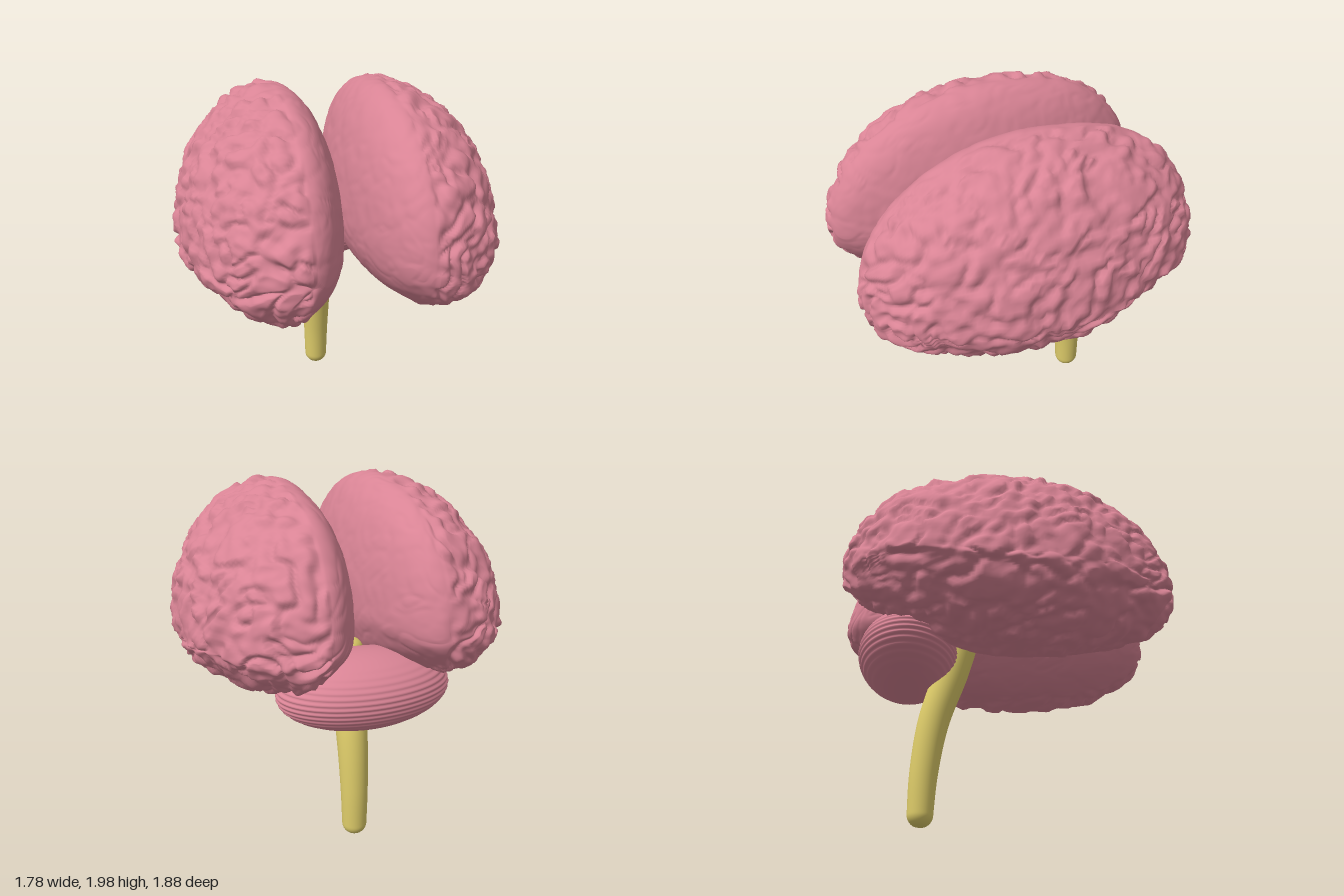
import * as THREE from 'three';
import { mergeVertices } from 'three/addons/utils/BufferGeometryUtils.js';

const pink = new THREE.MeshStandardMaterial({ color: 0xd98495 });
pink.name = 'tissue pink';
const yellow = new THREE.MeshStandardMaterial({ color: 0xdfcd6a });
yellow.name = 'stem yellow';

const { lerp, smoothstep } = THREE.MathUtils;

// Smooth seeded 3D value noise in -1..1
function hash(x, y, z) {
  let h = Math.imul(x, 374761393) ^ Math.imul(y, 668265263) ^ Math.imul(z, 873305471);
  h = Math.imul(h ^ (h >>> 13), 1274126177);
  h = Math.imul(h ^ (h >>> 15), 2246822519);
  return ((h ^ (h >>> 16)) >>> 0) / 2147483648 - 1;
}
function noise(x, y, z) {
  const i = Math.floor(x), j = Math.floor(y), k = Math.floor(z);
  const ease = t => t * t * t * (t * (t * 6 - 15) + 10);
  const u = ease(x - i), v = ease(y - j), w = ease(z - k);
  const row = (b, c) => lerp(hash(i, b, c), hash(i + 1, b, c), u);
  const slab = c => lerp(row(j, c), row(j + 1, c), v);
  return lerp(slab(k), slab(k + 1), w);
}

// Winding folds: warped noise on a turned lattice, rounded ridges with narrow grooves
const turn = new THREE.Euler(0.6, 0.5, 0.4);
function folds(x, y, z) {
  const q = new THREE.Vector3(x, y * 1.2, z).applyEuler(turn);
  const wx = noise(q.x * 5 + 9, q.y * 5, q.z * 5), wy = noise(q.x * 5, q.y * 5 + 31, q.z * 5);
  const n = noise(q.x * 10 + wx, q.y * 10 + wy, q.z * 10 - wx);
  const m = noise(q.x * 18 + wy, q.y * 18 + 50, q.z * 18 + wx);
  return Math.min(Math.abs(n) * 1.6, 0.8) - 0.4 + m * 0.32;
}

// Welds seams and drops old normals so the surface shades smoothly
function smooth(geometry) {
  geometry.deleteAttribute('uv');
  geometry.deleteAttribute('normal');
  const welded = mergeVertices(geometry, 1e-5);
  welded.computeVertexNormals();
  return welded;
}

// One half: thin toward the middle, broad outside, flattened underneath
function hemisphere(side) {
  const geometry = new THREE.SphereGeometry(1, 200, 140).rotateX(Math.PI / 2);
  const pos = geometry.attributes.position;
  const d = new THREE.Vector3(), n = new THREE.Vector3();
  for (let i = 0; i < pos.count; i++) {
    d.fromBufferAttribute(pos, i);
    const out = d.x * side;
    const rx = out > 0 ? 0.56 : 0.3, ry = d.y > 0 ? 0.72 : 0.375, rz = 0.92;
    n.set(d.x / rx, d.y / ry, d.z / rz).normalize();
    if (d.y < 0) {
      const p = 2 + 0.5 * smoothstep(out, -0.3, 0.3);
      const r = Math.hypot(d.x, d.z);
      d.multiplyScalar(Math.pow(Math.pow(r, p) + Math.pow(-d.y, p), -1 / p));
    }
    const x = side * 0.31 + d.x * rx;
    const z = d.z * rz;
    const under = 1 - smoothstep(d.y, -0.5, 0.1);
    let y = 1.26 + d.y * ry - 0.06 * d.x * side;
    // The back sits higher, and the underside rises toward the back and the outer rim
    y += 0.055 * smoothstep(-z, 0.1, 0.75);
    y += under * (0.05 * smoothstep(-z, 0.05, 0.6) + 0.09 * smoothstep(out, 0.15, 0.9));
    const weight = lerp(0.12, 1, smoothstep(out, -0.08, 0.07));
    const h = 0.036 * weight * folds(x + side * 3, y, z);
    pos.setXYZ(i, x + n.x * h, y + n.y * h, z + n.z * h);
  }
  return new THREE.Mesh(smooth(geometry), pink);
}

// Rear lobe with fine horizontal ridges
function rearLobe() {
  const geometry = new THREE.SphereGeometry(1, 72, 120);
  const pos = geometry.attributes.position;
  for (let i = 0; i < pos.count; i++) {
    const y = pos.getY(i);
    const s = 1 + 0.01 * Math.sin(y * 48) * Math.sqrt(Math.max(0, 1 - y * y));
    pos.setXYZ(i, pos.getX(i) * 0.47 * s, y * 0.205, pos.getZ(i) * 0.28 * s);
  }
  const mesh = new THREE.Mesh(smooth(geometry), pink);
  mesh.position.set(0, 0.975, -0.543);
  return mesh;
}

// Curved stem: a tube whose rings are scaled to taper and round off at both ends
function stem() {
  const curve = new THREE.CatmullRomCurve3([
    [1.15, -0.235], [0.9, -0.295], [0.6, -0.385], [0.3, -0.428], [0.005, -0.44],
  ].map(([y, z]) => new THREE.Vector3(0, y, z)));
  const rings = 140, sides = 32, length = curve.getLength();
  const geometry = new THREE.TubeGeometry(curve, rings, 1, sides);
  const pos = geometry.attributes.position;
  const v = new THREE.Vector3();
  for (let i = 0; i <= rings; i++) {
    const t = i / rings, centre = curve.getPointAt(t);
    const end = Math.min(1, Math.min(t, 1 - t) * length / 0.065);
    const radius = lerp(0.106, 0.068, t) * Math.max(0.001, Math.sqrt(1 - (1 - end) ** 2));
    for (let j = 0; j <= sides; j++) {
      const k = i * (sides + 1) + j;
      v.fromBufferAttribute(pos, k).sub(centre).multiplyScalar(radius).add(centre);
      pos.setXYZ(k, v.x, v.y, v.z);
    }
  }
  return new THREE.Mesh(smooth(geometry), yellow);
}

export function createModel() {
  const model = new THREE.Group();
  model.name = 'brain';
  const parts = {
    leftHemisphere: hemisphere(1),
    rightHemisphere: hemisphere(-1),
    cerebellum: rearLobe(),
    brainStem: stem(),
  };
  for (const [name, mesh] of Object.entries(parts)) {
    mesh.name = name;
    model.add(mesh);
  }
  return model;
}
